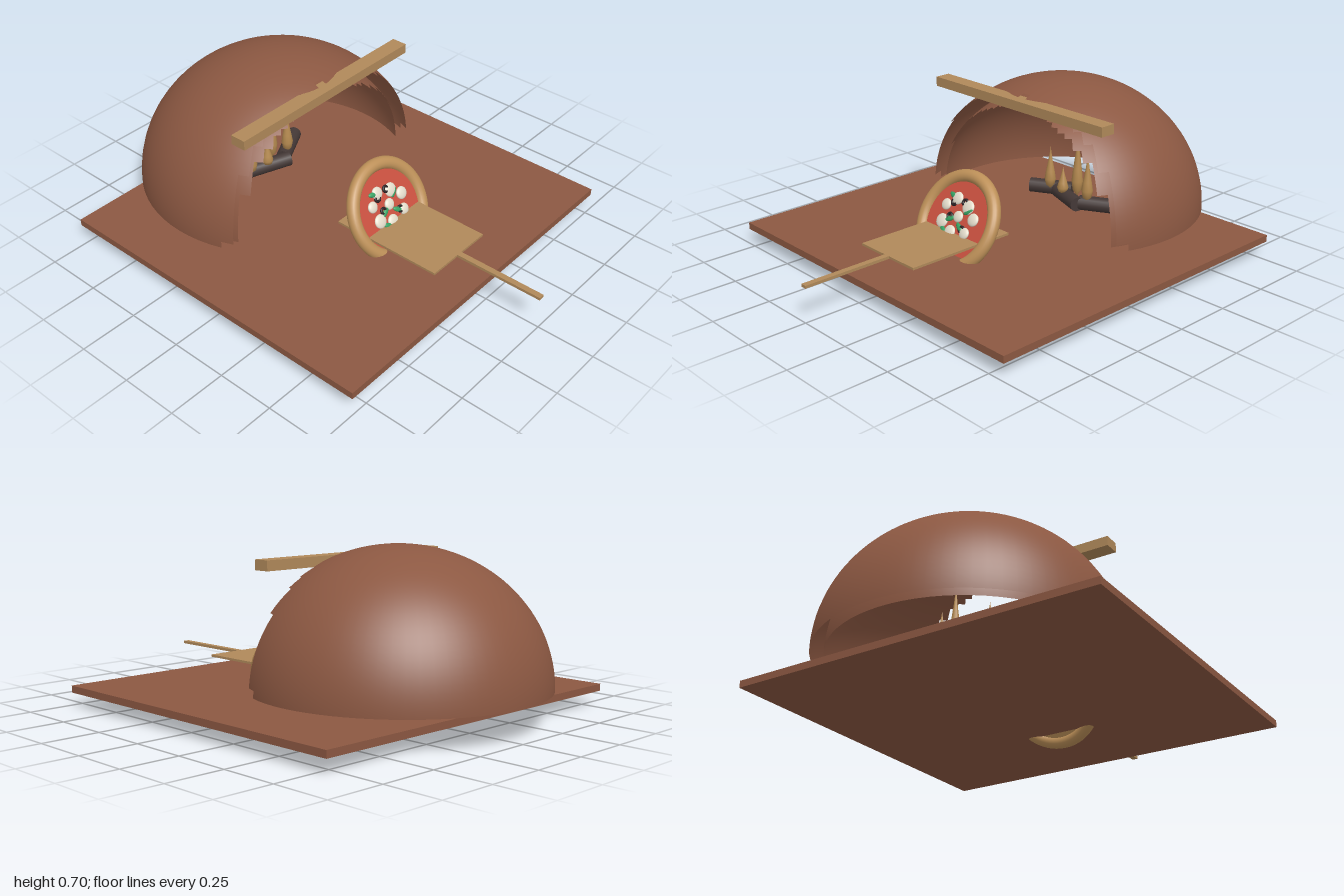
import * as THREE from 'three';

const paint = (name, color, double = false) => {
  const m = new THREE.MeshStandardMaterial({ color });
  m.name = name;
  if (double) m.side = THREE.DoubleSide;
  return m;
};

export function createModel() {
  const model = new THREE.Group();
  model.name = 'brickOven';
  const clay = paint('clay', 0x8c5842, true);
  const wood = paint('wood', 0xb0895a);
  const crustMat = paint('crust', 0xbd9058);
  const sauceMat = paint('sauce', 0xc9503f);
  const cheeseMat = paint('cheese', 0xe3dccb);
  const oliveMat = paint('olive', 0x2a2224);
  const basilMat = paint('basil', 0x35a062);
  const charMat = paint('charredWood', 0x443836);
  const flameMat = paint('flame', 0xb58a50);

  const add = (name, geo, mat, pos = [0, 0, 0], parent = model) => {
    const mesh = new THREE.Mesh(geo, mat);
    mesh.name = name;
    mesh.position.set(...pos);
    parent.add(mesh);
    return mesh;
  };
  const box = (name, mat, [x0, x1], [y0, y1], [z0, z1]) =>
    add(name, new THREE.BoxGeometry(x1 - x0, y1 - y0, z1 - z0), mat,
      [(x0 + x1) / 2, (y0 + y1) / 2, (z0 + z1) / 2]);

  // Floor slab and the beam over the mouth
  box('floorSlab', clay, [-0.81, 0.81], [0.06, 0.09], [-0.8, 0.735]);
  box('mouthBeam', wood, [-0.5, 0.495], [0.613, 0.655], [-0.155, -0.085]);

  // Half dome whose front bricks are left out, giving a stepped mouth
  function domeShell(name, r, h, cut) {
    const cols = 72, rows = 30;
    const geo = new THREE.SphereGeometry(1, cols, rows, 0, Math.PI * 2, 0, Math.PI / 2);
    const index = [];
    for (let i = 0; i < rows; i++) {
      for (let j = 0; j < cols; j++) {
        const theta = (i + 0.5) / rows * Math.PI / 2;
        const phi = (j + 0.5) / cols * Math.PI * 2;
        if (r * Math.sin(phi) * Math.sin(theta) > cut) continue;
        const b = i * (cols + 1) + j, a = b + 1, c = b + cols + 1, d = c + 1;
        if (i > 0) index.push(a, b, d);
        index.push(b, c, d);
      }
    }
    geo.setIndex(index);
    geo.scale(r, h, r);
    add(name, geo, clay, [0, 0.135, -0.38]);
  }
  domeShell('outerDome', 0.62, 0.57, 0.237);
  domeShell('innerDome', 0.565, 0.517, 0.237);

  // Firewood: x, z, turn about y
  [[-0.16, -0.48, 0.5], [-0.02, -0.44, -0.35], [0.15, -0.48, 0.5]].forEach(([x, z, turn]) => {
    const geo = new THREE.CylinderGeometry(0.033, 0.033, 0.2, 16);
    geo.rotateZ(Math.PI / 2);
    add('log', geo, charMat, [x, 0.122, z]).rotation.y = turn;
  });

  // Flames: x, z, height
  const flameProfile = [[0, 0], [0.1, 0.1], [0.13, 0.24], [0.1, 0.42], [0.045, 0.7], [0, 1]]
    .map(p => new THREE.Vector2(...p));
  [[-0.13, -0.44, 0.2], [-0.04, -0.43, 0.13], [0.02, -0.46, 0.3], [0.1, -0.44, 0.22]]
    .forEach(([x, z, h]) => {
      const flame = add('flame', new THREE.LatheGeometry(flameProfile, 14), flameMat, [x, 0.135, z]);
      flame.scale.set(0.2, h, 0.2);
    });

  // Peel: flat blade and long handle
  box('peelBlade', wood, [-0.163, 0.163], [0.151, 0.161], [0.1, 0.605]);
  box('peelHandle', wood, [-0.013, 0.013], [0.15, 0.162], [0.6, 1]);

  // Pizza, leaning back; its own +z is the topped face
  const pizza = new THREE.Group();
  pizza.name = 'pizza';
  pizza.position.set(0, 0.2, 0.235);
  pizza.rotation.x = -Math.PI / 6;
  model.add(pizza);
  add('crustRing', new THREE.TorusGeometry(0.196, 0.028, 20, 64), crustMat, [0, 0, 0], pizza);
  const disc = (name, r, d, mat, z) => {
    const geo = new THREE.CylinderGeometry(r, r, d, 48);
    geo.rotateX(Math.PI / 2);
    add(name, geo, mat, [0, 0, z], pizza);
  };
  disc('doughBase', 0.19, 0.016, crustMat, -0.008);
  disc('sauce', 0.185, 0.008, sauceMat, 0.004);

  // Toppings, placed across the face
  const blob = new THREE.SphereGeometry(1, 20, 12);
  [[-0.085, 0.05], [-0.035, 0.09], [0.04, 0.07], [0.005, 0.02], [0.09, 0.03], [-0.075, -0.02],
    [0.07, -0.035], [-0.01, -0.05], [0.02, -0.1], [-0.06, -0.09]].forEach(([x, y], i) => {
    const s = 0.026 + (i % 3) * 0.003;
    add('cheese', blob, cheeseMat, [x, y, 0.012], pizza).scale.set(s, s * 0.95, 0.011);
  });
  const oliveRing = new THREE.TorusGeometry(0.012, 0.006, 8, 18);
  [[-0.045, 0.07], [0.015, 0.085], [0.05, -0.025], [-0.04, 0.01], [-0.03, -0.08], [0.09, -0.075]]
    .forEach(([x, y]) => add('olive', oliveRing, oliveMat, [x, y, 0.014], pizza));
  [[0.05, 0.055, 0.7], [-0.035, 0, 0.5], [0.035, -0.02, -0.6], [0.035, -0.07, 0.4],
    [-0.045, -0.055, -0.5], [-0.06, 0.095, -0.3]].forEach(([x, y, turn]) => {
    const leaf = add('basilLeaf', blob, basilMat, [x, y, 0.014], pizza);
    leaf.scale.set(0.026, 0.011, 0.007);
    leaf.rotation.z = turn;
  });

  return model;
}
